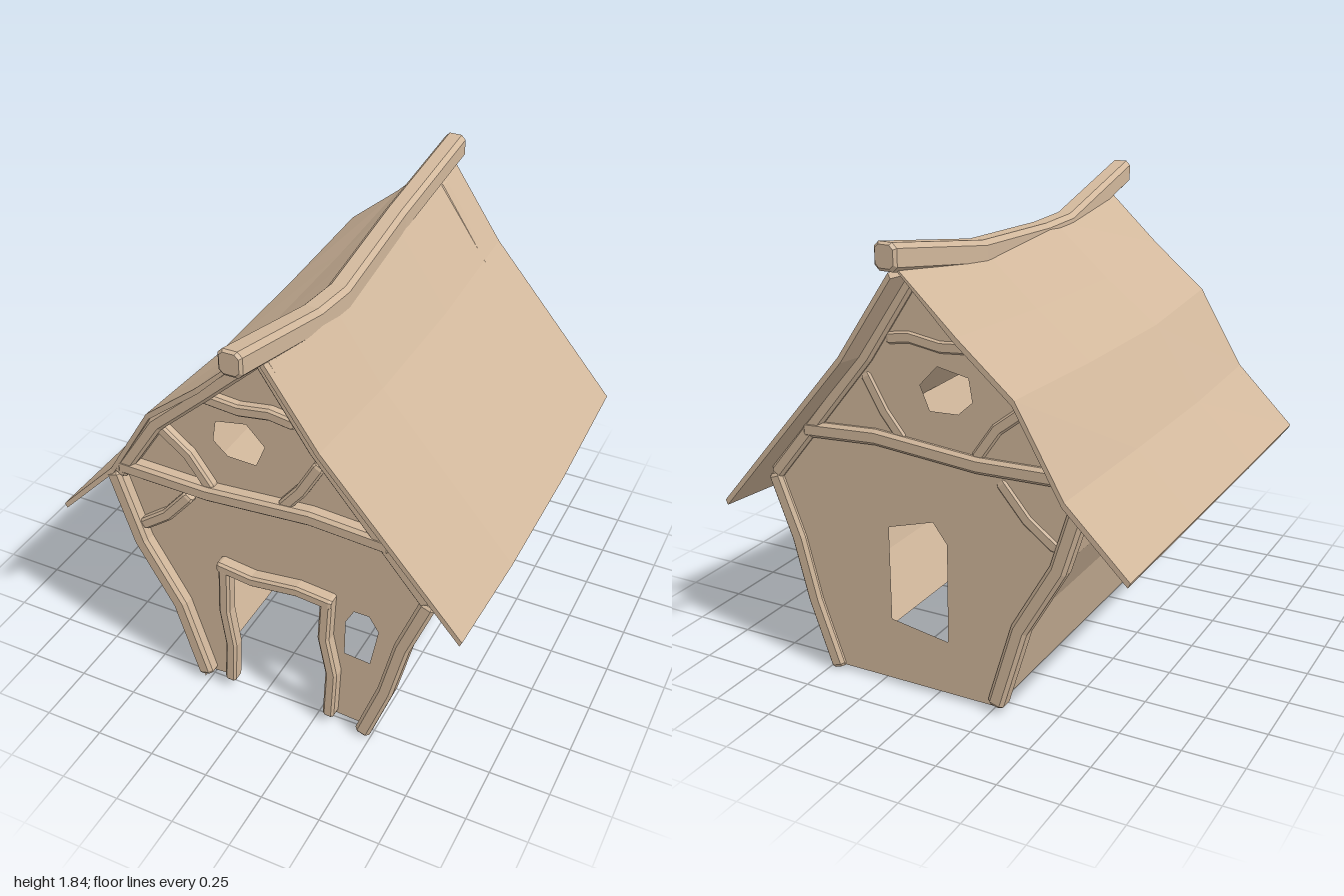
import * as THREE from 'three';

const wood = new THREE.MeshStandardMaterial({ color: 0xd2b89c, flatShading: true });
const sheet = new THREE.MeshStandardMaterial({ color: 0xd2b89c, flatShading: true, side: THREE.DoubleSide });
const V = (x, y, z) => new THREE.Vector3(x, y, z);

// Skin a row of equal, even-sized rings (counter-clockwise about the path) and cap both ends
function loft(rings) {
  const n = rings[0].length, last = rings.length - 1, index = [];
  const quad = (a, b, c, d) => index.push(a, b, c, a, c, d);
  for (let r = 0; r < last; r++) {
    for (let i = 0; i < n; i++) {
      const j = (i + 1) % n;
      quad(r * n + i, r * n + j, (r + 1) * n + j, (r + 1) * n + i);
    }
  }
  for (let i = 0; i < n / 2 - 1; i++) {
    const e = last * n;
    quad(i, n - 1 - i, n - 2 - i, i + 1);
    quad(e + i, e + i + 1, e + n - 2 - i, e + n - 1 - i);
  }
  const g = new THREE.BufferGeometry().setFromPoints(rings.flat());
  g.setIndex(index);
  const flat = g.toNonIndexed();
  flat.computeVertexNormals();
  return flat;
}

function add(parent, name, geometry, material = wood) {
  const mesh = new THREE.Mesh(geometry, material);
  mesh.name = name;
  parent.add(mesh);
  return mesh;
}

// Crooked timber: chamfered rectangle swept along a polyline, ends slightly worn
function timber(points, width, depth, up) {
  const w = width / 2, d = depth / 2, c = Math.min(w, d) * 0.4;
  const section = [[w, -d + c], [w, d - c], [w - c, d], [c - w, d], [-w, d - c], [-w, c - d], [c - w, -d], [w - c, -d]];
  const dir = (a, b) => b.clone().sub(a).normalize();
  const ring = (p, t, s) => {
    const side = up.clone().cross(t).normalize();
    return section.map(([a, b]) => p.clone().addScaledVector(side, a * s).addScaledVector(up, b * s));
  };
  const rings = [], last = points.length - 1;
  points.forEach((p, i) => {
    const t = V(0, 0, 0);
    if (i > 0) t.add(dir(points[i - 1], p));
    if (i < last) t.add(dir(p, points[i + 1]));
    t.normalize();
    if (i === 0) rings.push(ring(p, t, 0.8), ring(p.clone().addScaledVector(t, 0.012), t, 1));
    else if (i === last) rings.push(ring(p.clone().addScaledVector(t, -0.012), t, 1), ring(p, t, 0.8));
    else rings.push(ring(p, t, 1));
  });
  return loft(rings);
}

// Name, width, depth, path in the gable plane
const FRAME = [
  ['leftPost', 0.07, 0.075, [[-0.63, 0.98], [-0.53, 0.66], [-0.37, 0.38], [-0.265, 0.03]]],
  ['rightPost', 0.065, 0.075, [[0.725, 0.81], [0.625, 0.55], [0.56, 0.29], [0.46, 0.01]]],
  ['crossBeam', 0.065, 0.075, [[-0.6, 1.02], [-0.2, 1.01], [0.24, 1.045], [0.57, 1.025]]],
  ['leftRafter', 0.06, 0.07, [[0.05, 1.69], [-0.2, 1.46], [-0.41, 1.27], [-0.6, 0.98]]],
  ['rightRafter', 0.06, 0.07, [[0.06, 1.68], [0.27, 1.36], [0.72, 0.81]]],
  ['collarBeam', 0.05, 0.045, [[-0.22, 1.45], [-0.05, 1.435], [0.08, 1.455], [0.18, 1.44]]],
  ['upperLeftBrace', 0.05, 0.045, [[-0.42, 1.27], [-0.28, 1.16], [-0.19, 1.03]]],
  ['upperRightBrace', 0.05, 0.045, [[0.28, 1.29], [0.2, 1.15], [0.12, 1.05]]],
  ['lowerLeftBrace', 0.05, 0.045, [[-0.52, 0.74], [-0.4, 0.83], [-0.29, 0.96]]],
];
const DOOR = [
  ['doorLeftJamb', 0.05, 0.06, [[-0.145, 0.045], [-0.132, 0.25], [-0.155, 0.43], [-0.145, 0.65]]],
  ['doorRightJamb', 0.05, 0.06, [[0.31, 0.04], [0.325, 0.28], [0.292, 0.46], [0.305, 0.66]]],
  ['doorLintel', 0.05, 0.065, [[-0.175, 0.66], [-0.02, 0.64], [0.18, 0.665], [0.33, 0.65]]],
];

function timbers(name, list, z) {
  const group = new THREE.Group();
  group.name = name;
  for (const [part, w, d, path] of list) {
    add(group, part, timber(path.map(([x, y]) => V(x, y, z)), w, d, V(0, 0, 1)));
  }
  return group;
}

const LEFT_WALL = [[-0.63, 0.98], [-0.53, 0.66], [-0.37, 0.38], [-0.265, 0.02]];
const RIGHT_WALL = [[0.45, 0.02], [0.56, 0.29], [0.62, 0.55], [0.725, 0.81]];
const GABLE_TOP = [[0.28, 1.35], [0.06, 1.66], [-0.2, 1.47], [-0.42, 1.28]];
const ATTIC_WINDOW = [[-0.035, 1.36], [0.04, 1.28], [0, 1.185], [-0.12, 1.19], [-0.18, 1.245], [-0.165, 1.335]];

// Flat gable wall with openings
function gable(doorway, holes) {
  const pts = (list) => list.map(([x, y]) => new THREE.Vector2(x, y));
  const shape = new THREE.Shape(pts([...LEFT_WALL, ...doorway, ...RIGHT_WALL, ...GABLE_TOP]));
  shape.holes = holes.map((h) => new THREE.Path(pts(h)));
  return new THREE.ShapeGeometry(shape);
}

// Side wall: profile drawn out along z
function sideWall(profile) {
  const g = new THREE.PlaneGeometry(1, 1, profile.length - 1, 1);
  const pos = g.attributes.position;
  for (let i = 0; i < pos.count; i++) {
    const [x, y] = profile[i % profile.length];
    pos.setXYZ(i, x, y, i < profile.length ? 0.8 : -0.825);
  }
  g.computeVertexNormals();
  return g;
}

// Roof slope: thin slab whose profile sags between its ends; dip(v, row) with v = height ratio
function roofSlope(profile, zs, dip) {
  const thick = 0.02;
  return loft(zs.map((z, row) => {
    const top = profile.map(([x, y, dz = 0]) => V(x, y + dip((y - 0.7) / 1, row), z + dz * (row === 0 ? 1 : row === zs.length - 1 ? 0.8 : 0)));
    const under = top.map((p) => V(p.x - Math.sign(p.x) * thick * 0.5, p.y - thick, p.z)).reverse();
    return [...top, ...under];
  }));
}

export function createModel() {
  const model = new THREE.Group();
  model.name = 'crookedCottage';

  // Walls
  add(model, 'frontWall', gable(
    [[-0.14, 0.03], [-0.132, 0.25], [-0.155, 0.43], [-0.145, 0.64], [0.3, 0.64], [0.292, 0.46], [0.325, 0.28], [0.31, 0.03]],
    [ATTIC_WINDOW, [[0.365, 0.38], [0.37, 0.55], [0.405, 0.615], [0.47, 0.615], [0.51, 0.55], [0.475, 0.37]]],
  ), sheet).position.z = 0.75;
  add(model, 'backWall', gable([], [
    ATTIC_WINDOW,
    [[-0.055, 0.245], [-0.06, 0.66], [0.0, 0.74], [0.2, 0.68], [0.2, 0.285]],
  ]), sheet).position.z = -0.825;
  add(model, 'leftWall', sideWall(RIGHT_WALL), sheet);
  add(model, 'rightWall', sideWall(LEFT_WALL), sheet);

  // Timber framing
  model.add(timbers('frontFrame', FRAME, 0.765));
  model.add(timbers('backFrame', FRAME, -0.81));
  model.add(timbers('doorFrame', DOOR, 0.77));

  // Roof slopes
  const zs = [-0.965, -0.36, 0.28, 0.82];
  const sag = [0.005, -0.045, -0.045, 0];
  const ridgeSag = [0.02, -0.03, -0.055, 0];
  add(model, 'roofLeft', roofSlope(
    [[0.875, 0.71], [0.3, 1.38], [0.07, 1.72]], zs, (v, r) => sag[r]));
  add(model, 'roofRight', roofSlope(
    [[0.05, 1.74], [-0.2, 1.51, 0], [-0.43, 1.325, -0.01], [-0.63, 1.0, -0.025], [-0.875, 0.75, -0.008]],
    zs, (v, r) => ridgeSag[r] * Math.max(0, v)));

  // Sagging ridge beam
  add(model, 'ridgeBeam', timber([
    V(0.06, 1.79, 1), V(0.06, 1.645, 0.4), V(0.073, 1.638, 0.2), V(0.038, 1.685, -0.4), V(0.06, 1.79, -1),
  ], 0.095, 0.105, V(0, 1, 0)));

  return model;
}
